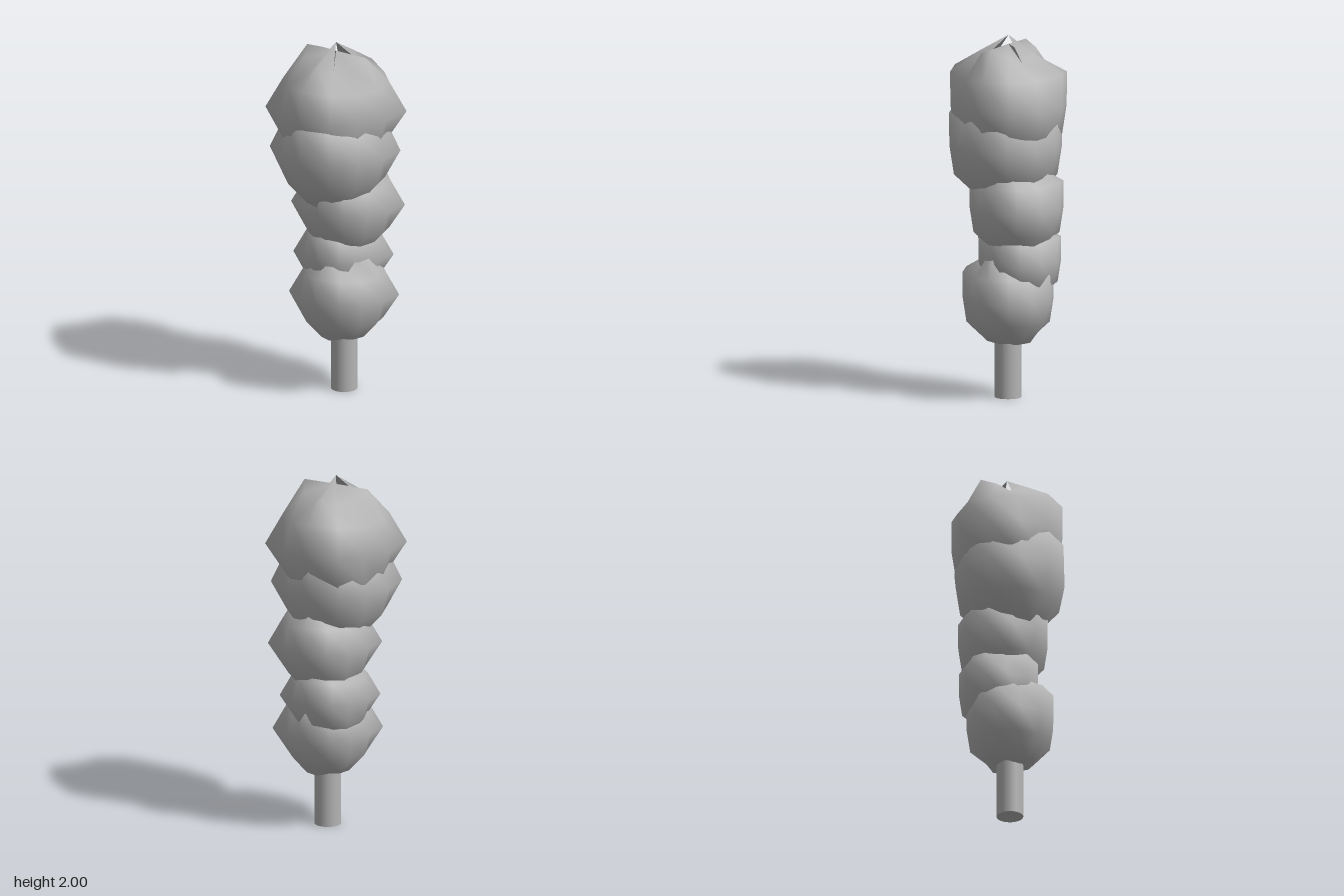
import * as THREE from 'three';

// Radius factor per ring (top pole to bottom pole); six columns, repeated twice around
const LUMPS = [
  [0.87, 0.87, 1.00, 1.00, 0.87, 0.87],
  [1.00, 0.88, 0.75, 0.87, 0.75, 0.90],
  [0.87, 0.87, 0.87, 1.00, 0.95, 0.83],
  [0.87, 1.00, 0.87, 0.87, 0.82, 0.80],
  [0.85, 0.84, 0.87, 0.85, 0.87, 0.85],
  [0.87, 0.84, 0.90, 0.91, 0.85, 0.87],
  [0.90, 0.90, 0.90, 0.90, 0.90, 0.90],
];

// A low-sided sphere with its vertices pulled in unevenly;
// ridge and hollow set the long and short diagonals of the widest ring
function lumpGeometry(radius, ridge, hollow) {
  const geometry = new THREE.SphereGeometry(radius, 12, 6);
  const position = geometry.attributes.position;
  const v = new THREE.Vector3();
  for (let i = 0; i < position.count; i++) {
    const ring = Math.floor(i / 13), column = (i % 13) % 6;
    let factor = LUMPS[ring][column];
    if (ring === 3 && column === 1) factor = ridge;
    if (ring === 3 && column === 5) factor = hollow;
    v.fromBufferAttribute(position, i).multiplyScalar(factor);
    position.setXYZ(i, v.x, v.y, v.z);
  }
  geometry.computeVertexNormals();
  // Blend normals over the seam where the first and last columns meet
  const normal = geometry.attributes.normal;
  const w = new THREE.Vector3();
  for (let ring = 1; ring < 6; ring++) {
    const first = ring * 13, last = first + 12;
    v.fromBufferAttribute(normal, first);
    w.fromBufferAttribute(normal, last);
    v.add(w).normalize();
    normal.setXYZ(first, v.x, v.y, v.z);
    normal.setXYZ(last, v.x, v.y, v.z);
  }
  // Smooth poles
  for (let i = 0; i < 13; i++) {
    normal.setXYZ(i, 0, 1, 0);
    normal.setXYZ(78 + i, 0, -1, 0);
  }
  return geometry;
}

export function createModel() {
  const model = new THREE.Group();
  model.name = 'stackedLumpsOnStem';
  const grey = new THREE.MeshStandardMaterial({ color: 0xb4b4b4, side: THREE.DoubleSide });
  grey.name = 'grey';

  // Stem
  const stem = new THREE.Mesh(new THREE.CylinderGeometry(0.073, 0.073, 0.5, 24), grey);
  stem.name = 'stem';
  stem.position.set(0.04, 0.25, -0.02);
  model.add(stem);

  // Lumps from bottom to top: radius, centre, ridge, hollow
  const lumps = [
    [0.302, 0.04, 0.55, -0.02, 1, 0.8],
    [0.275, 0.0, 0.76, -0.07, 1, 0.75],
    [0.312, 0.032, 1.055, -0.068, 1, 0.8],
    [0.375, 0.005, 1.39, 0.015, 0.955, 0.82],
    [0.387, 0.0, 1.613, 0.0, 1, 0.73],
  ];
  lumps.forEach(([radius, x, y, z, ridge, hollow], i) => {
    const lump = new THREE.Mesh(lumpGeometry(radius, ridge, hollow), grey);
    lump.name = 'lump' + (i + 1);
    lump.position.set(x, y, z);
    model.add(lump);
  });
  return model;
}
